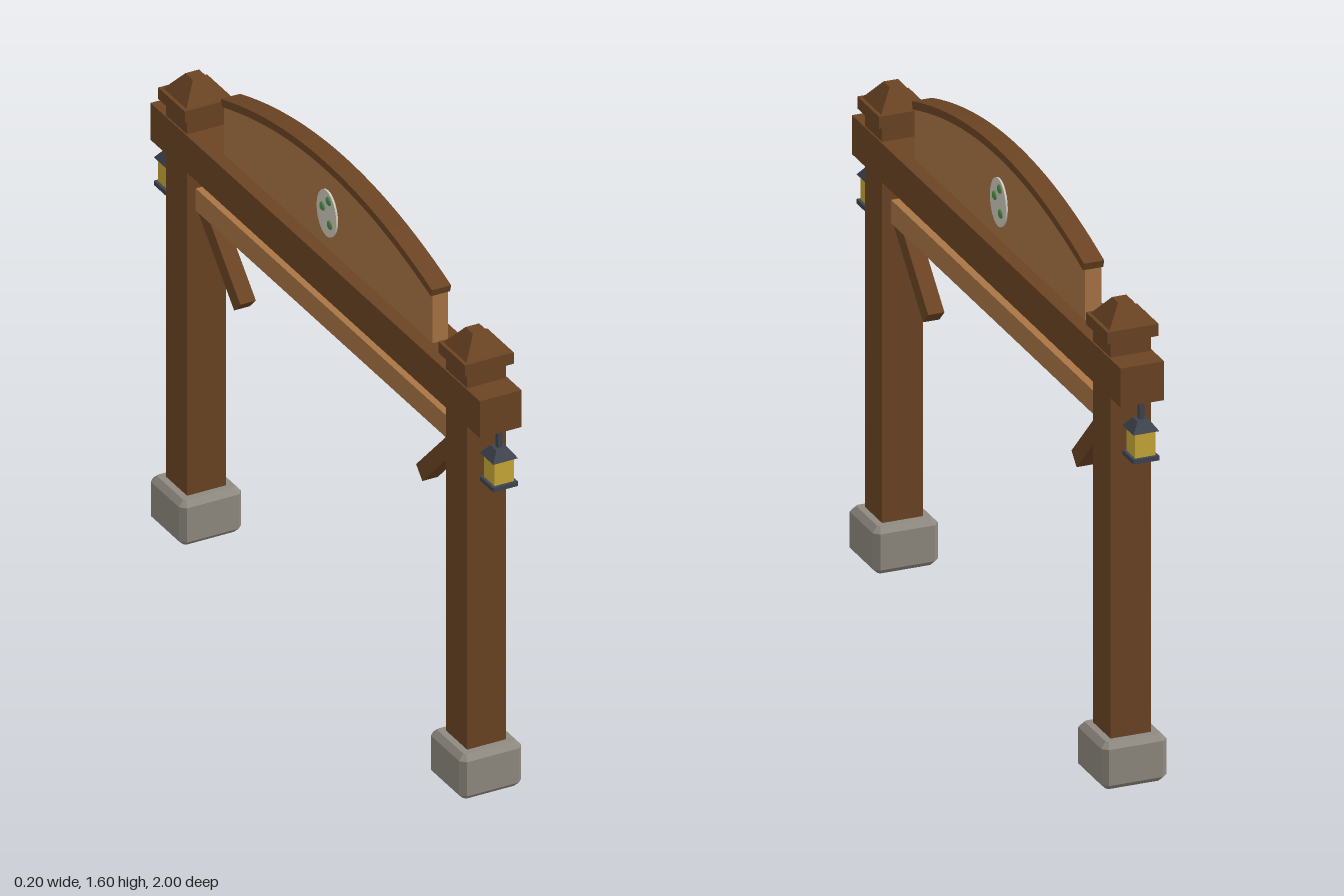
import * as THREE from 'three';

const mat = (name, color) => {
  const m = new THREE.MeshStandardMaterial({ color });
  m.name = name;
  return m;
};

export function createModel() {
  const darkWood = mat('darkWood', 0x6b4423);
  const lightWood = mat('lightWood', 0xa87545);
  const stone = mat('stone', 0x8f8a80);
  const iron = mat('iron', 0x3f4450);
  const glass = mat('glass', 0xc9a937);
  const plaque = mat('plaque', 0xcfcabc);
  const leaf = mat('leaf', 0x4f8f4a);

  const model = new THREE.Group();
  model.name = 'gateway';

  const add = (parent, name, geometry, material, x = 0, y = 0, z = 0) => {
    const mesh = new THREE.Mesh(geometry, material);
    mesh.name = name;
    mesh.position.set(x, y, z);
    parent.add(mesh);
    return mesh;
  };
  const box = (w, h, d) => new THREE.BoxGeometry(w, h, d);

  // Square frustum with flat faces, given half widths
  const frustum = (top, bottom, h) => {
    const g = new THREE.CylinderGeometry(top * Math.SQRT2, bottom * Math.SQRT2, h, 4)
      .rotateY(Math.PI / 4).toNonIndexed();
    g.computeVertexNormals();
    return g;
  };

  // Block with every edge chamfered, standing on y = 0
  const chamferedBlock = (half, h, c) => {
    const a = half - c, b = a - c * 0.4;
    const shape = new THREE.Shape([
      [a, -b], [a, b], [b, a], [-b, a], [-a, b], [-a, -b], [-b, -a], [b, -a],
    ].map(([x, y]) => new THREE.Vector2(x, y)));
    return new THREE.ExtrudeGeometry(shape, {
      depth: h - 2 * c, bevelEnabled: true, bevelSegments: 1, bevelSize: c, bevelThickness: c,
    }).translate(0, 0, c).rotateX(-Math.PI / 2);
  };

  // Profile drawn in (z, y), extruded across x
  const slab = (shape, thickness) => new THREE.ExtrudeGeometry(shape, {
    depth: thickness, bevelEnabled: false, curveSegments: 24,
  }).translate(0, 0, -thickness / 2).rotateY(-Math.PI / 2);

  // Beams
  add(model, 'mainBeam', box(0.134, 0.12, 1.94), darkWood, 0, 1.26, 0);
  add(model, 'lowerBeam', box(0.07, 0.072, 1.6), lightWood, 0, 1.101, 0);

  // Each end: footing, post, cap, brace and hanging lantern
  for (const s of [1, -1]) {
    const end = new THREE.Group();
    end.name = s > 0 ? 'frontEnd' : 'backEnd';
    if (s < 0) end.rotation.y = Math.PI;
    model.add(end);

    add(end, 'footing', chamferedBlock(0.1, 0.145, 0.017), stone, 0, 0, 0.825);
    add(end, 'post', box(0.125, 1.36, 0.125), darkWood, 0, 0.69, 0.825);
    add(end, 'capSlab', box(0.157, 0.037, 0.157), darkWood, 0, 1.388, 0.825);
    add(end, 'capPeak', frustum(0.022, 0.068, 0.06), darkWood, 0, 1.436, 0.825);
    const brace = add(end, 'brace', box(0.05, 0.052, 0.3), darkWood, 0, 0.966, 0.642);
    brace.rotation.x = -Math.PI / 4;

    const lantern = new THREE.Group();
    lantern.name = 'lantern';
    lantern.position.z = 0.96;
    end.add(lantern);
    add(lantern, 'hanger', box(0.015, 0.06, 0.015), iron, 0, 1.175, 0);
    add(lantern, 'roof', frustum(0.018, 0.04, 0.03), iron, 0, 1.136, 0);
    add(lantern, 'pane', box(0.062, 0.08, 0.062), glass, 0, 1.083, 0);
    add(lantern, 'lanternBase', box(0.08, 0.014, 0.08), iron, 0, 1.038, 0);
  }

  // Arched board
  const board = new THREE.Shape();
  board.moveTo(-0.615, 1.315);
  board.lineTo(0.615, 1.315);
  board.lineTo(0.615, 1.48);
  board.quadraticCurveTo(0, 1.675, -0.615, 1.48);
  add(model, 'archedBoard', slab(board, 0.05), lightWood);

  // Curved trim along the top of the board
  const trim = new THREE.Shape();
  trim.moveTo(-0.615, 1.474);
  trim.quadraticCurveTo(0, 1.678, 0.615, 1.474);
  trim.lineTo(0.622, 1.497);
  trim.quadraticCurveTo(0, 1.703, -0.622, 1.497);
  add(model, 'archTrim', slab(trim, 0.062), darkWood);

  // Oval medallion with three raised buds on each side
  for (const s of [1, -1]) {
    const medallion = new THREE.Group();
    medallion.name = s > 0 ? 'leftMedallion' : 'rightMedallion';
    if (s < 0) medallion.rotation.y = Math.PI;
    model.add(medallion);
    const disc = new THREE.CylinderGeometry(1, 1, 0.008, 24).rotateZ(Math.PI / 2).scale(1, 0.074, 0.058);
    add(medallion, 'medallionDisc', disc, plaque, 0.027, 1.436, 0);
    for (const [y, z] of [[1.483, -0.014], [1.449, 0.023], [1.409, -0.021]]) {
      const bud = new THREE.SphereGeometry(0.014, 12, 8).scale(0.5, 1, 1);
      add(medallion, 'bud', bud, leaf, 0.031, y, z);
    }
  }

  return model;
}
